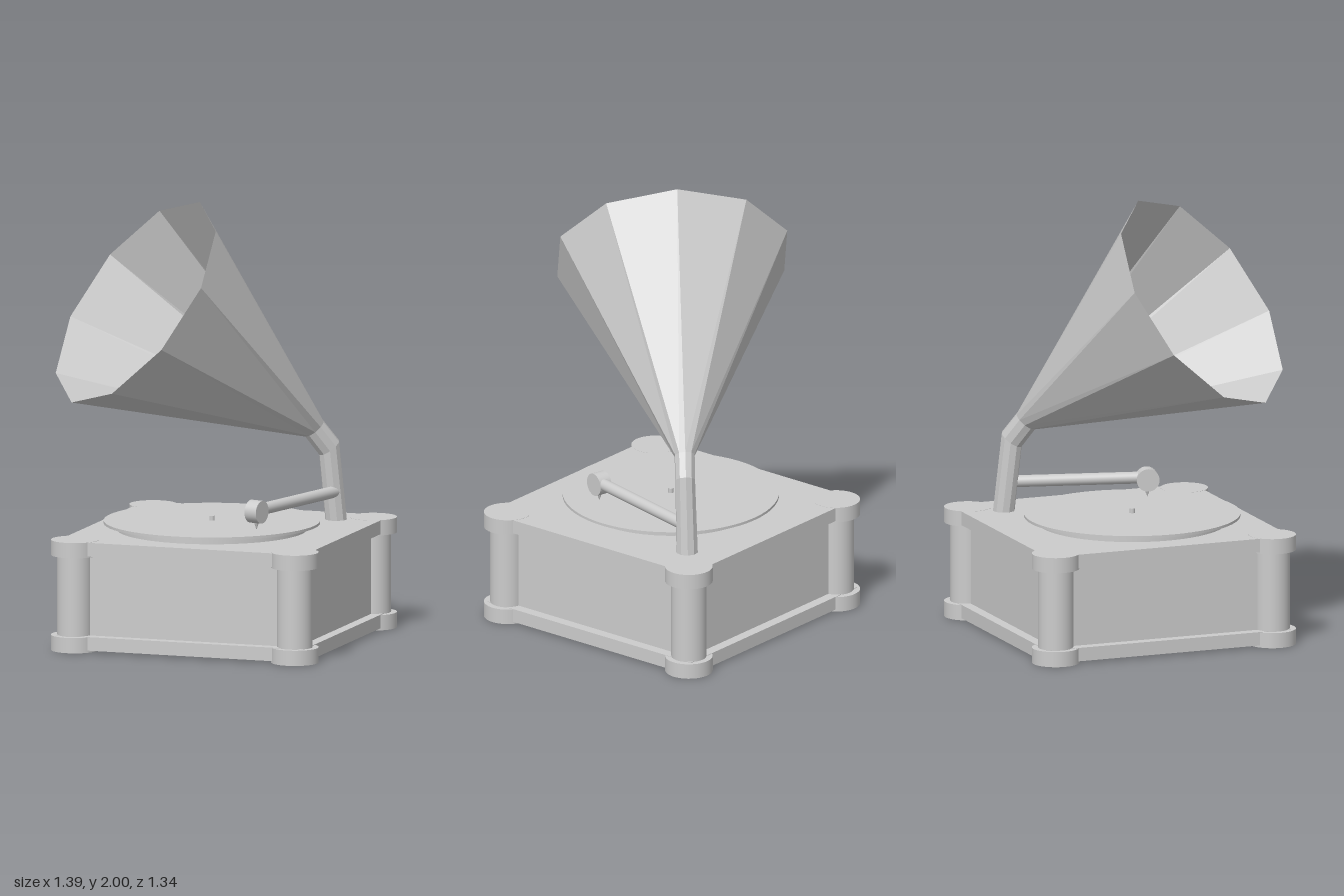
import * as THREE from 'three';

const grey = new THREE.MeshStandardMaterial({ color: 0xcccccc });
const faceted = new THREE.MeshStandardMaterial({ color: 0xcccccc, flatShading: true, side: THREE.DoubleSide });

function add(parent, name, geometry, x, y, z, material = grey) {
  const mesh = new THREE.Mesh(geometry, material);
  mesh.name = name;
  mesh.position.set(x, y, z);
  parent.add(mesh);
  return mesh;
}

// Upright cylinder between two heights
function disc(parent, name, r, y0, y1, x, z, sides = 48) {
  return add(parent, name, new THREE.CylinderGeometry(r, r, y1 - y0, sides), x, (y0 + y1) / 2, z);
}

// Upright-sided block between two heights
function block(parent, name, half, y0, y1) {
  return add(parent, name, new THREE.BoxGeometry(half * 2, y1 - y0, half * 2), 0, (y0 + y1) / 2, 0);
}

// Faceted skin through rings; each ring is tilted to an elevation in the horn's vertical plane
function loftRings(rings, sides) {
  const heading = new THREE.Vector3(-0.73, 0, 0.685).normalize();
  const lateral = new THREE.Vector3(-heading.z, 0, heading.x);
  const points = [], index = [];
  rings.forEach(({ c, tilt, ru, rl }, k) => {
    const e = THREE.MathUtils.degToRad(tilt);
    const up = heading.clone().multiplyScalar(-Math.sin(e)).setY(Math.cos(e));
    for (let i = 0; i < sides; i++) {
      const a = (i / sides) * Math.PI * 2;
      const p = new THREE.Vector3(...c)
        .addScaledVector(up, ru * Math.cos(a))
        .addScaledVector(lateral, rl * Math.sin(a));
      points.push(p.x, p.y, p.z);
      if (k === 0) continue;
      const j = (i + 1) % sides, lo = (k - 1) * sides, hi = k * sides;
      index.push(lo + i, lo + j, hi + j, lo + i, hi + j, hi + i);
    }
  });
  const g = new THREE.BufferGeometry();
  g.setAttribute('position', new THREE.Float32BufferAttribute(points, 3));
  g.setIndex(index);
  g.computeVertexNormals();
  return g;
}

export function createModel() {
  const model = new THREE.Group();
  model.name = 'gramophone';

  // Cabinet: recessed box between two slabs, with a capped post at each corner
  const cabinet = new THREE.Group();
  cabinet.name = 'cabinet';
  cabinet.position.set(0.057, 0, -0.042);
  model.add(cabinet);
  block(cabinet, 'cabinetBody', 0.545, 0.05, 0.46);
  block(cabinet, 'baseSlab', 0.594, 0.01, 0.072);
  block(cabinet, 'topSlab', 0.594, 0.441, 0.504);
  for (const sx of [-1, 1]) {
    for (const sz of [-1, 1]) {
      const x = sx * 0.528, z = sz * 0.528;
      disc(cabinet, 'cornerPost', 0.08, 0.05, 0.45, x, z);
      disc(cabinet, 'postFoot', 0.108, 0, 0.07, x, z);
      disc(cabinet, 'postCap', 0.108, 0.435, 0.505, x, z);
    }
  }

  // Turntable
  disc(model, 'turntableBase', 0.43, 0.5, 0.533, 0.014, 0, 64);
  disc(model, 'record', 0.49, 0.533, 0.545, 0.014, 0, 64);
  disc(model, 'spindle', 0.012, 0.54, 0.566, 0.014, 0, 16);

  // Neck bends towards the front, then flares into the horn
  const foot = { c: [0.45, 0.5, -0.45], tilt: 90, ru: 0.05, rl: 0.05 };
  const bend = { c: [0.427, 0.836, -0.42], tilt: 55, ru: 0.057, rl: 0.046 };
  const throat = { c: [0.372, 0.928, -0.372], tilt: 51, ru: 0.056, rl: 0.047 };
  const rim = { c: [-0.272, 1.562, 0.224], tilt: 35.8, ru: 0.541, rl: 0.541 };
  add(model, 'neck', loftRings([foot, bend, throat], 10), 0, 0, 0, faceted);
  add(model, 'horn', loftRings([throat, rim], 10), 0, 0, 0, faceted);

  // Tone arm: its local z runs along the arm towards the sound box
  const arm = new THREE.Group();
  arm.name = 'toneArm';
  arm.position.set(0.295, 0.628, 0.188);
  arm.rotation.y = -0.249;
  model.add(arm);
  const tube = add(arm, 'armTube', new THREE.CylinderGeometry(0.027, 0.027, 0.61, 24), 0.004, 0.007, -0.335);
  tube.rotation.x = Math.PI / 2;
  const head = add(arm, 'soundBox', new THREE.CylinderGeometry(0.052, 0.052, 0.062, 32), 0, 0, 0);
  head.rotation.z = Math.PI / 2;
  const needle = add(arm, 'needle', new THREE.ConeGeometry(0.014, 0.04, 16), 0, -0.062, 0);
  needle.rotation.x = Math.PI;

  return model;
}
